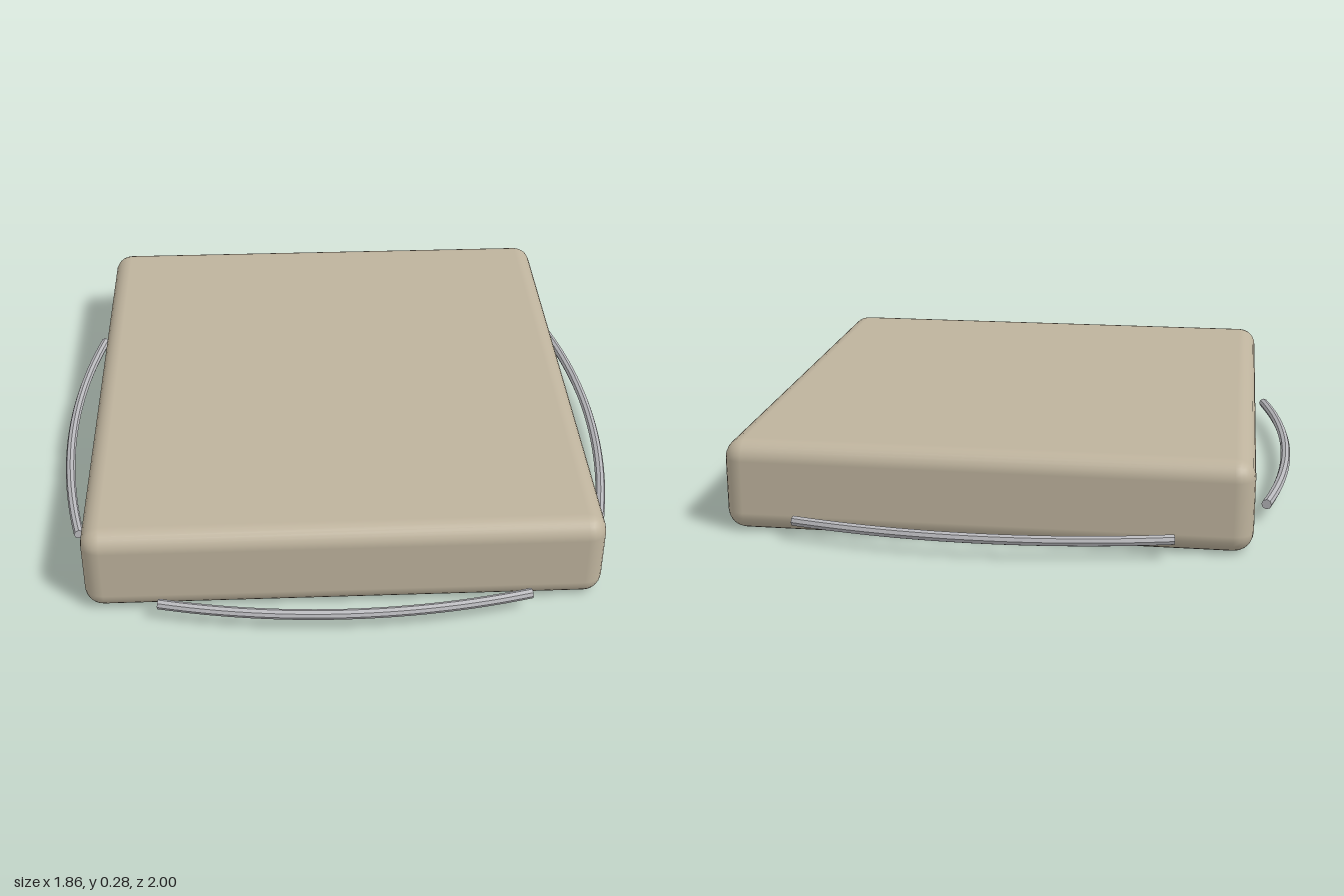
import * as THREE from 'three';
import { RoundedBoxGeometry } from 'three/addons/geometries/RoundedBoxGeometry.js';

const fabric = new THREE.MeshStandardMaterial({ color: 0xbeb39d });
fabric.name = 'beige fabric';
const metal = new THREE.MeshStandardMaterial({ color: 0xb8b8bc });
metal.name = 'light grey metal';

const TUBE = 0.016, SIDES = 8, HALF = 0.572, SAG = 0.07;

// A gently bowed rail with flat ends; its middle lies at z = 0, bulging to +z
function makeRail(name) {
  const rail = new THREE.Group();
  rail.name = name;
  const radius = (HALF * HALF + SAG * SAG) / (2 * SAG);
  const spread = Math.asin(HALF / radius);
  const points = [];
  for (let i = 0; i <= 16; i++) {
    const a = spread * (i / 8 - 1);
    points.push(new THREE.Vector3(radius * Math.sin(a), 0, radius * (Math.cos(a) - 1)));
  }
  const path = new THREE.CatmullRomCurve3(points);

  // Faceted bar
  const barShape = new THREE.TubeGeometry(path, 24, TUBE, SIDES).toNonIndexed();
  barShape.computeVertexNormals();
  const bar = new THREE.Mesh(barShape, metal);
  bar.name = 'railBar';
  rail.add(bar);

  // End caps face outward along the path
  for (const t of [0, 1]) {
    const cap = new THREE.Mesh(new THREE.CircleGeometry(TUBE, SIDES), metal);
    cap.name = 'railEnd';
    cap.position.copy(path.getPointAt(t));
    const outward = path.getTangentAt(t).multiplyScalar(t ? 1 : -1);
    cap.quaternion.setFromUnitVectors(new THREE.Vector3(0, 0, 1), outward);
    rail.add(cap);
  }
  return rail;
}

export function createModel() {
  const model = new THREE.Group();
  model.name = 'cushionWithRails';

  // Soft-edged cushion
  const cushion = new THREE.Mesh(new RoundedBoxGeometry(1.605, 0.285, 1.75, 3, 0.06), fabric);
  cushion.name = 'cushion';
  cushion.position.y = 0.1425;
  model.add(cushion);

  // One rail on each side: front, left, back, right
  ['frontRail', 'leftRail', 'backRail', 'rightRail'].forEach((name, i) => {
    const rail = makeRail(name);
    const angle = i * Math.PI / 2;
    const distance = i % 2 ? 0.912 : 0.984;
    rail.rotation.y = angle;
    rail.position.set(Math.sin(angle) * distance, 0.06, Math.cos(angle) * distance);
    model.add(rail);
  });
  return model;
}
